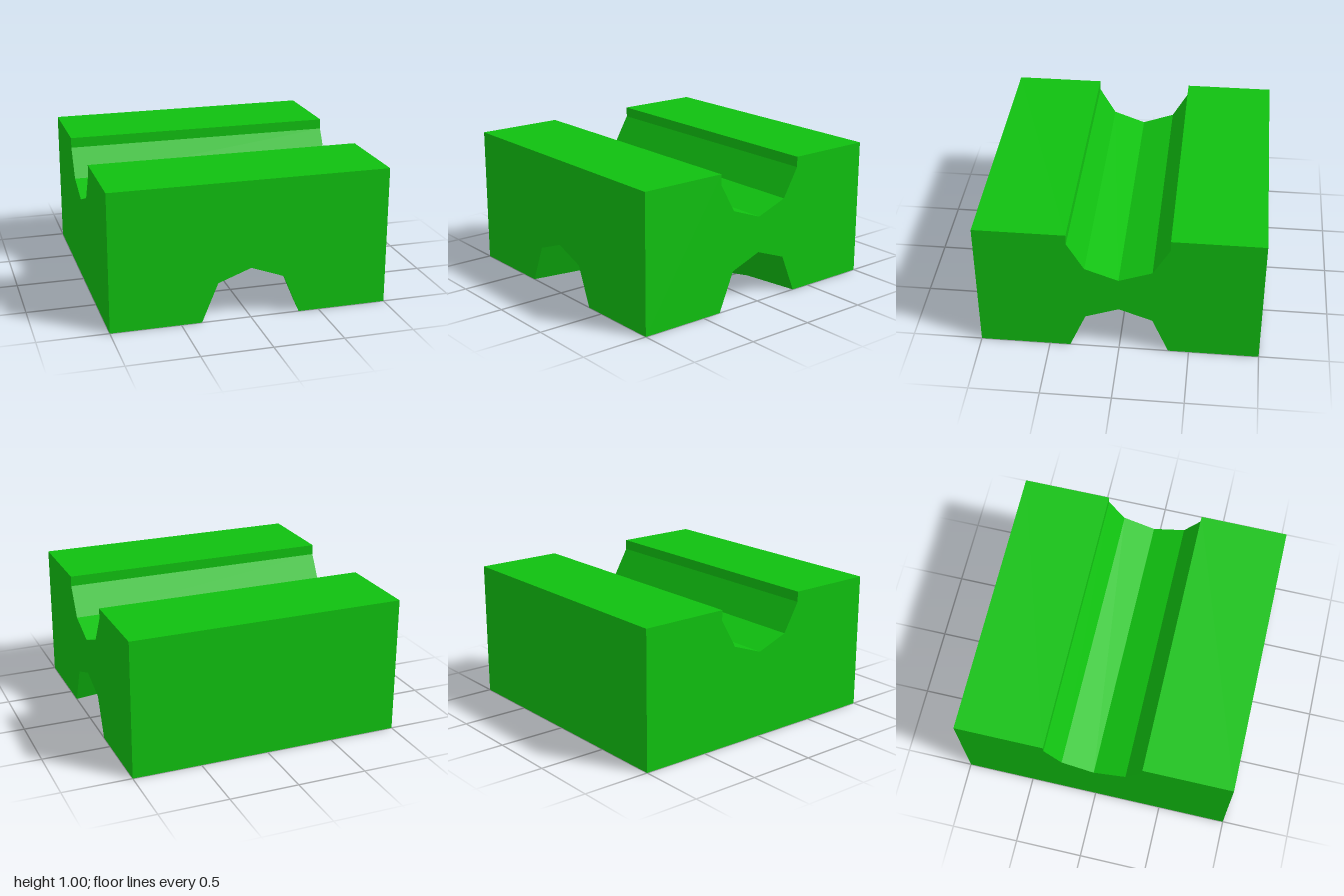
import * as THREE from 'three';

const V = (x, y, z) => new THREE.Vector3(x, y, z);
const material = new THREE.MeshStandardMaterial({ color: 0x10c010, flatShading: true, side: THREE.DoubleSide });

// half-octagon tunnel mouth, as [offset, height]
const ARCH = [[-0.353, 0], [-0.237, 0.28], [0, 0.368], [0.237, 0.28], [0.353, 0]];
// channel cut into the top, as [offset, height]
const CHANNEL = [[0.355, 1], [0.355, 0.925], [0.235, 0.717], [0, 0.63], [-0.235, 0.717], [-0.355, 0.925], [-0.355, 1]];
const BEND_STEPS = 5;

function addMesh(group, name, geometry) {
  const mesh = new THREE.Mesh(geometry, material);
  mesh.name = name;
  group.add(mesh);
}

// flat panel from an outline, placed by its right, up and outward directions
function panel(outline, right, up, distance) {
  const shape = new THREE.Shape(outline.map(([u, v]) => new THREE.Vector2(u, v)));
  const normal = right.clone().cross(up);
  const matrix = new THREE.Matrix4().makeBasis(right, up, normal);
  matrix.setPosition(normal.multiplyScalar(distance));
  return new THREE.ShapeGeometry(shape).applyMatrix4(matrix);
}

// faceted skin across a row of equal cross-sections
function skin(rings) {
  const points = [];
  for (let i = 0; i < rings.length - 1; i++) {
    for (let j = 0; j < rings[i].length - 1; j++) {
      const a = rings[i][j], b = rings[i + 1][j], c = rings[i + 1][j + 1], d = rings[i][j + 1];
      points.push(a, b, c, a, c, d);
    }
  }
  const geometry = new THREE.BufferGeometry().setFromPoints(points);
  geometry.computeVertexNormals();
  return geometry;
}

// quarter bend around the front left corner, at radius r
const bend = (r, i) => {
  const t = (i / BEND_STEPS) * Math.PI / 2;
  return [1 - r * Math.sin(t), 1 - r * Math.cos(t)];
};
const arc = (r) => Array.from({ length: BEND_STEPS + 1 }, (_, i) => bend(r, i));

export function createModel() {
  const group = new THREE.Group();
  group.name = 'trackBlock';
  const X = V(1, 0, 0), Y = V(0, 1, 0), Z = V(0, 0, 1);
  const backwards = V(0, 0, -1);

  // side walls
  const plainBase = [[-1, 0], [1, 0]];
  const archBase = [[-1, 0], ...ARCH, [1, 0]];
  const flatTop = [[1, 1], [-1, 1]];
  const channelTop = [[1, 1], ...CHANNEL, [-1, 1]];
  addMesh(group, 'frontWall', panel([...archBase, ...flatTop], X, Y, 1));
  addMesh(group, 'backWall', panel([...plainBase, ...flatTop], V(-1, 0, 0), Y, 1));
  addMesh(group, 'leftWall', panel([...archBase, ...channelTop], backwards, Y, 1));
  addMesh(group, 'rightWall', panel([...plainBase, ...channelTop], Z, Y, 1));

  // top with the straight channel
  addMesh(group, 'channelTop', skin([-1, 1].map((x) => channelTop.map(([z, y]) => V(x, y, z)))));

  // curved tunnel lining
  const rings = Array.from({ length: BEND_STEPS + 1 }, (_, i) => ARCH.map(([u, y]) => {
    const [x, z] = bend(1 + u, i);
    return V(x, y, z);
  }));
  addMesh(group, 'curvedTunnel', skin(rings));

  // underside, on both sides of the tunnel
  const reach = ARCH[4][0];
  addMesh(group, 'underside', panel([[-1, -1], [1, -1], ...arc(1 + reach), [-1, 1]], X, Z, 0));
  addMesh(group, 'cornerPillarFoot', panel([[1, 1], ...arc(1 - reach)], X, Z, 0));

  return group;
}
